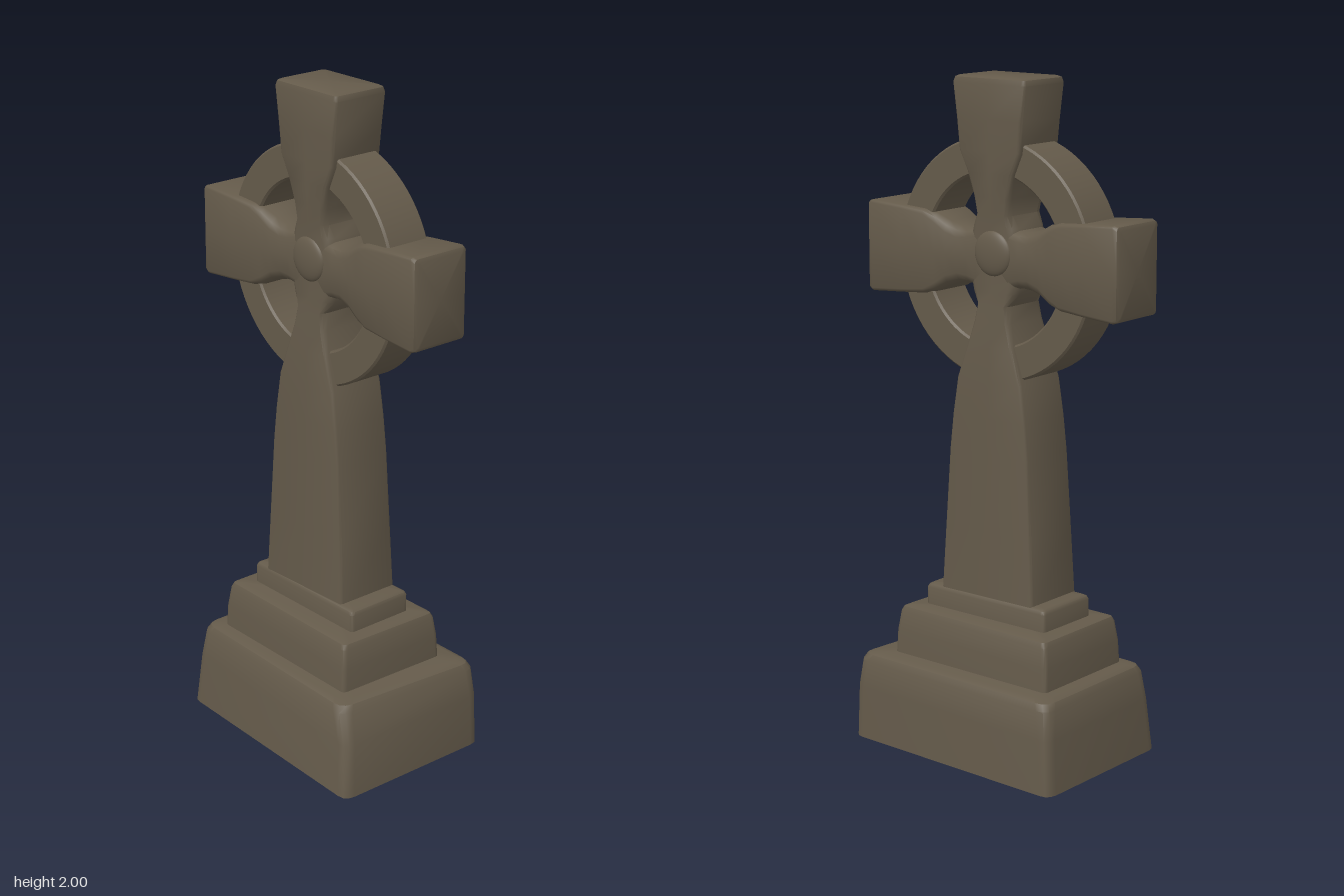
import * as THREE from 'three';
import { toCreasedNormals } from 'three/addons/utils/BufferGeometryUtils.js';

// Skins a stack of equal-length rings (counter-clockwise seen from above) and caps both ends.
function skin(rings, crease = 0.65) {
  const n = rings[0].length, pos = [], idx = [];
  rings.forEach(r => r.forEach(p => pos.push(...p)));
  for (let k = 0; k < rings.length - 1; k++) {
    for (let i = 0; i < n; i++) {
      const a = k * n + i, b = k * n + (i + 1) % n;
      idx.push(a, b, b + n, a, b + n, a + n);
    }
  }
  [0, rings.length - 1].forEach((k, end) => {
    const c = pos.length / 3, mid = [0, 0, 0];
    rings[k].forEach(p => p.forEach((v, j) => { mid[j] += v / n; }));
    pos.push(...mid);
    for (let i = 0; i < n; i++) {
      const a = k * n + i, b = k * n + (i + 1) % n;
      if (end) idx.push(c, a, b); else idx.push(c, b, a);
    }
  });
  const g = new THREE.BufferGeometry();
  g.setAttribute('position', new THREE.Float32BufferAttribute(pos, 3));
  g.setIndex(idx);
  return toCreasedNormals(g, crease);
}

// Horizontal quad ring with softened corners; corners run front-left, front-right, back-right, back-left.
function quadRing(y, corners, round) {
  const out = [];
  corners.forEach((c, i) => {
    const p = new THREE.Vector2(...c);
    const toward = q => {
      const d = new THREE.Vector2(...q).sub(p);
      return p.clone().addScaledVector(d, round / d.length());
    };
    const curve = new THREE.QuadraticBezierCurve(toward(corners[(i + 3) % 4]), p, toward(corners[(i + 1) % 4]));
    curve.getPoints(3).forEach(q => out.push([q.x, y, q.y]));
  });
  return out;
}

const inset = (corners, k) => corners.map(([x, z]) => [x - Math.sign(x) * k, z - Math.sign(z) * k]);

// One limb of the cross growing upward. Stations: [distance, half width, face half width, side half depth, half depth]
function limb(stations) {
  const rings = stations.map(([t, w, f, s, d]) => {
    const m = f + (w - f) * 0.6, e = s + (d - s) * 0.7;
    const half = [[-w, s], [-m, e], [-f, d], [0, d], [f, d], [m, e], [w, s]];
    return [...half, ...half.map(([x, z]) => [-x, -z])].map(([x, z]) => [x, t, z]);
  });
  return skin(rings);
}

export function createModel() {
  const group = new THREE.Group();
  const stone = new THREE.MeshStandardMaterial({ color: 0x645a4a });
  stone.name = 'weatheredStone';
  const add = (name, geometry, x = 0, y = 0, z = 0, parent = group) => {
    const m = new THREE.Mesh(geometry, stone);
    m.name = name;
    m.position.set(x, y, z);
    parent.add(m);
    return m;
  };

  // Worn foundation block, its front right-hand corner broken away
  const foot = [[-0.375, 0.237], [0.397, 0.28], [0.402, -0.253], [-0.372, -0.28]];
  const waist = [[-0.36, 0.225], [0.38, 0.265], [0.397, -0.25], [-0.36, -0.272]];
  const shoulder = [[-0.35, 0.215], [0.345, 0.25], [0.385, -0.247], [-0.352, -0.265]];
  add('foundationBlock', skin([
    quadRing(0, foot, 0.035), quadRing(0.16, waist, 0.035),
    quadRing(0.245, shoulder, 0.04), quadRing(0.264, inset(shoulder, 0.01), 0.04),
    quadRing(0.272, inset(shoulder, 0.03), 0.04),
  ]));

  // Middle step
  const step = [[-0.287, 0.168], [0.28, 0.185], [0.29, -0.18], [-0.287, -0.19]];
  add('middleStep', skin([
    quadRing(0.25, inset(step, -0.004), 0.015), quadRing(0.34, step, 0.015),
    quadRing(0.4, inset(step, 0.008), 0.015), quadRing(0.414, inset(step, 0.014), 0.015),
    quadRing(0.42, inset(step, 0.028), 0.015),
  ]));

  // Upper step
  const ledge = [[-0.227, 0.1], [0.227, 0.108], [0.225, -0.115], [-0.225, -0.117]];
  add('upperStep', skin([
    quadRing(0.4, ledge, 0.012), quadRing(0.472, ledge, 0.012),
    quadRing(0.481, inset(ledge, 0.004), 0.012), quadRing(0.486, inset(ledge, 0.013), 0.012),
  ]));

  // Cross: pinched limbs around a central hub
  const cross = new THREE.Group();
  cross.name = 'cross';
  cross.position.set(-0.003, 1.48, -0.006);
  group.add(cross);

  const hub = [
    [0, 0.08, 0.07, 0.05, 0.076], [0.06, 0.088, 0.064, 0.05, 0.077], [0.095, 0.08, 0.055, 0.05, 0.078],
  ];
  const arm = [
    ...hub, [0.13, 0.083, 0.052, 0.05, 0.08], [0.17, 0.095, 0.064, 0.055, 0.084],
    [0.21, 0.115, 0.09, 0.065, 0.088], [0.25, 0.124, 0.11, 0.075, 0.092], [0.33, 0.129, 0.119, 0.084, 0.095],
    [0.442, 0.136, 0.127, 0.089, 0.098], [0.455, 0.132, 0.122, 0.085, 0.094], [0.46, 0.122, 0.112, 0.076, 0.085],
  ];
  const head = [
    ...hub, [0.13, 0.06, 0.048, 0.055, 0.08], [0.18, 0.066, 0.053, 0.065, 0.084],
    [0.25, 0.084, 0.074, 0.075, 0.088], [0.31, 0.111, 0.101, 0.08, 0.09], [0.4, 0.119, 0.109, 0.083, 0.092],
    [0.5, 0.131, 0.122, 0.084, 0.093], [0.515, 0.128, 0.118, 0.08, 0.089], [0.52, 0.118, 0.108, 0.072, 0.08],
  ];
  const shaft = [
    ...hub, [0.13, 0.057, 0.047, 0.055, 0.08], [0.18, 0.065, 0.054, 0.065, 0.084],
    [0.25, 0.084, 0.075, 0.077, 0.089], [0.35, 0.118, 0.108, 0.084, 0.094], [0.46, 0.134, 0.125, 0.087, 0.096],
    [0.565, 0.145, 0.137, 0.089, 0.097], [0.8, 0.16, 0.153, 0.092, 0.1], [1.02, 0.173, 0.166, 0.096, 0.104],
  ];
  add('crossHead', limb(head), 0, 0, 0, cross);
  add('leftArm', limb(arm).rotateZ(-Math.PI / 2), 0, 0.002, 0, cross);
  add('rightArm', limb(arm).rotateZ(Math.PI / 2), 0, 0.006, 0, cross);
  add('shaft', limb(shaft).rotateZ(Math.PI), 0, 0, 0, cross);

  // Round boss on both faces of the hub
  for (const side of [1, -1]) {
    const boss = new THREE.SphereGeometry(0.066, 32, 16);
    boss.scale(1, 1, 0.3);
    add(side > 0 ? 'frontBoss' : 'backBoss', boss, -0.004, 0.02, side * 0.074, cross);
  }

  // Ring joining the four limbs
  const inner = 0.25, outer = 0.353, h = 0.073, b = 0.006;
  const profile = [
    [inner, -h + b], [inner + b, -h], [outer - b, -h], [outer, -h + b],
    [outer, h - b], [outer - b, h], [inner + b, h], [inner, h - b], [inner, -h + b],
  ].map(p => new THREE.Vector2(...p));
  const ring = toCreasedNormals(new THREE.LatheGeometry(profile, 72).rotateX(Math.PI / 2), 0.5);
  add('haloRing', ring, -0.002, 0, -0.001, cross);

  return group;
}
